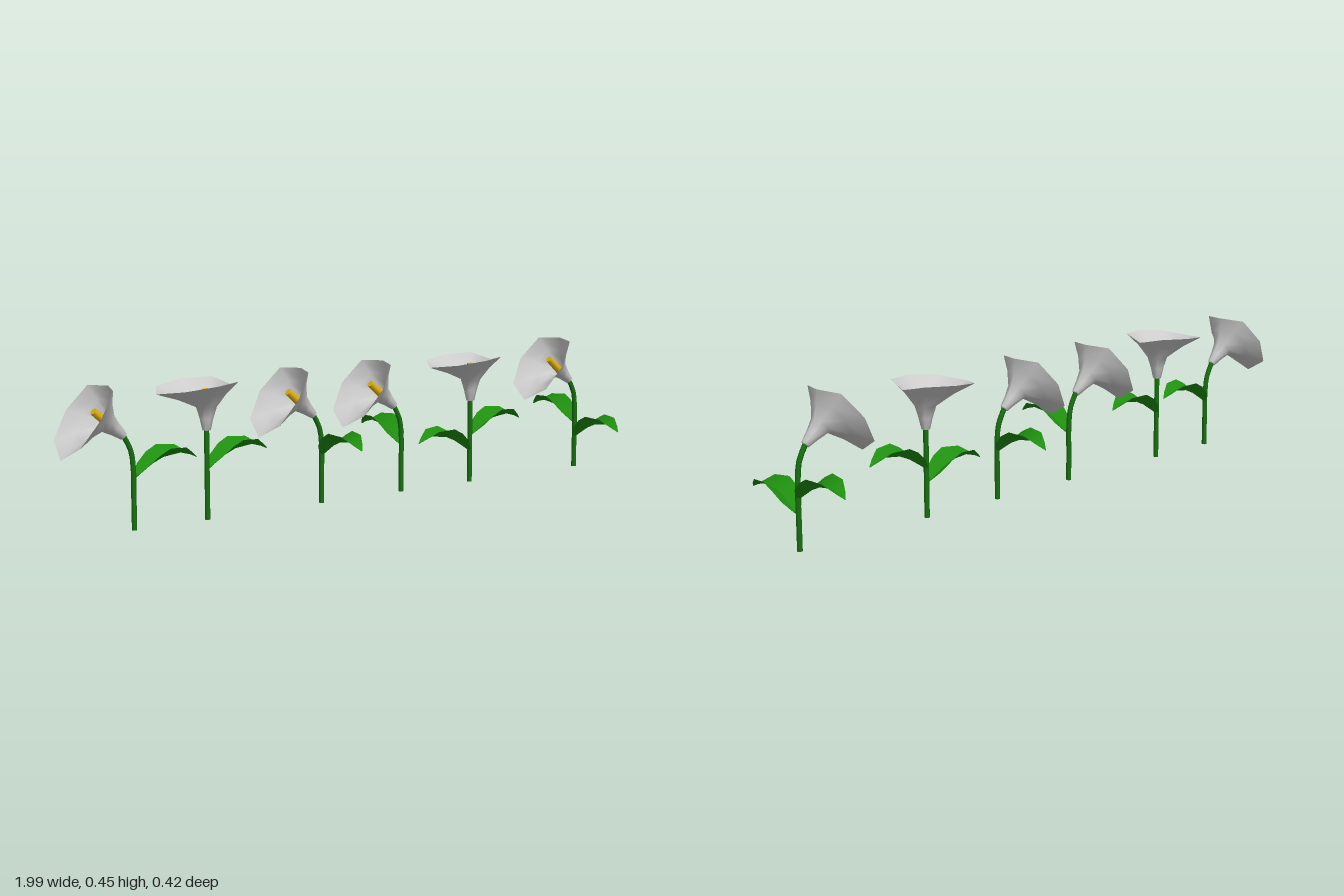
import * as THREE from 'three';
import { toCreasedNormals } from 'three/addons/utils/BufferGeometryUtils.js';

const white = new THREE.MeshStandardMaterial({ color: 0xcccccc, side: THREE.DoubleSide });
const leafGreen = new THREE.MeshStandardMaterial({ color: 0x1f8f0f, side: THREE.DoubleSide });
const stemGreen = new THREE.MeshStandardMaterial({ color: 0x17700f });
const yellow = new THREE.MeshStandardMaterial({ color: 0xe0b010 });

// Skin a list of equal-length cross-sections
function loft(rows, closed) {
  const n = rows[0].length, index = [];
  for (let i = 0; i < rows.length - 1; i++) {
    for (let j = 0; j < (closed ? n : n - 1); j++) {
      const k = (j + 1) % n;
      const a = i * n + j, b = i * n + k, c = (i + 1) * n + k, d = (i + 1) * n + j;
      index.push(a, d, b, b, d, c);
    }
  }
  const g = new THREE.BufferGeometry();
  g.setAttribute('position', new THREE.Float32BufferAttribute(rows.flat(2), 3));
  g.setIndex(index);
  g.computeVertexNormals();
  return g;
}

function mesh(name, geometry, material) {
  const m = new THREE.Mesh(geometry, material);
  m.name = name;
  return m;
}

// Eight-sided trumpet flaring from a narrow neck to a lopsided rim
function trumpetGeometry() {
  const half = [[0.085, 0.13, 0], [0.065, 0.147, 0.077], [-0.025, 0.143, 0.108],
    [-0.12, 0.132, 0.083], [-0.168, 0.12, 0]];
  const rim = [...half, ...[3, 2, 1].map(i => [half[i][0], half[i][1], -half[i][2]])];
  const ring = (r, y) => rim.map((_, k) =>
    [r * Math.cos(k * Math.PI / 4), y, r * Math.sin(k * Math.PI / 4)]);
  const throat = ring(0.032, 0.07);
  const flare = throat.map((p, k) => {
    const t = [0.45, 0.53, 0.45];
    return p.map((v, i) => v + (rim[k][i] - v) * t[i]);
  });
  return loft([ring(0.002, -0.003), ring(0.013, 0), ring(0.021, 0.035), throat, flare, rim], true);
}

// V-folded arching leaf: reach, half width, edge height, spine height
function leafGeometry() {
  const sections = [[0, 0.007, 0.155, 0.148], [0.03, 0.034, 0.188, 0.168], [0.065, 0.043, 0.218, 0.19],
    [0.1, 0.045, 0.236, 0.205], [0.157, 0.036, 0.232, 0.212], [0.19, 0.018, 0.21, 0.203],
    [0.212, 0.002, 0.194, 0.193]];
  const rows = sections.map(([x, w, e, s]) => [[x, e, -w], [x, s, 0], [x, e, w]]);
  return toCreasedNormals(loft(rows, false), 0.6);
}

const trumpet = trumpetGeometry();
const leaf = leafGeometry();
const spadix = new THREE.CylinderGeometry(0.011, 0.015, 0.1, 8).translate(0, 0.073, 0);

function lily({ x, tilted, lift = 0, leaves }) {
  const plant = new THREE.Group();
  plant.name = 'lily';
  plant.position.x = x;

  // Stem, bent towards -x when the flower nods
  const top = tilted ? [-0.03, 0.28 + lift] : [0, 0.27];
  const points = tilted
    ? [[0, 0], [0, 0.09], [0, 0.18], [-0.007, 0.235 + lift], top]
    : [[0, 0], [0, 0.13], top];
  const path = new THREE.CatmullRomCurve3(points.map(([px, py]) => new THREE.Vector3(px, py, 0)));
  plant.add(mesh('stem', new THREE.TubeGeometry(path, tilted ? 12 : 2, 0.008, 8), stemGreen));
  const foot = mesh('stemFoot', new THREE.CircleGeometry(0.008, 8), stemGreen);
  foot.rotation.x = Math.PI / 2;
  plant.add(foot);

  // Flower
  const flower = new THREE.Group();
  flower.name = 'flower';
  flower.add(mesh('petal', trumpet, white), mesh('spadix', spadix, yellow));
  flower.position.set(top[0], top[1], 0);
  if (tilted) flower.rotation.z = THREE.MathUtils.degToRad(50);
  plant.add(flower);

  // Leaves: turn about the stem in degrees, height offset
  for (const [turn, drop] of leaves) {
    const l = mesh('leaf', leaf, leafGreen);
    l.rotation.y = THREE.MathUtils.degToRad(turn);
    l.position.y = drop;
    plant.add(l);
  }
  return plant;
}

export function createModel() {
  const model = new THREE.Group();
  model.name = 'lilyRow';
  const low = -0.047;
  const plants = [
    { x: -0.768, tilted: true, leaves: [[0, 0]] },
    { x: -0.521, tilted: false, leaves: [[0, 0]] },
    { x: -0.108, tilted: true, leaves: [[-90, 0]] },
    { x: 0.202, tilted: true, leaves: [[90, 0]] },
    { x: 0.486, tilted: false, leaves: [[0, 0], [180, low]] },
    { x: 0.952, tilted: true, lift: 0.022, leaves: [[90, 0], [-90, low]] },
  ];
  plants.forEach(p => model.add(lily(p)));
  return model;
}
